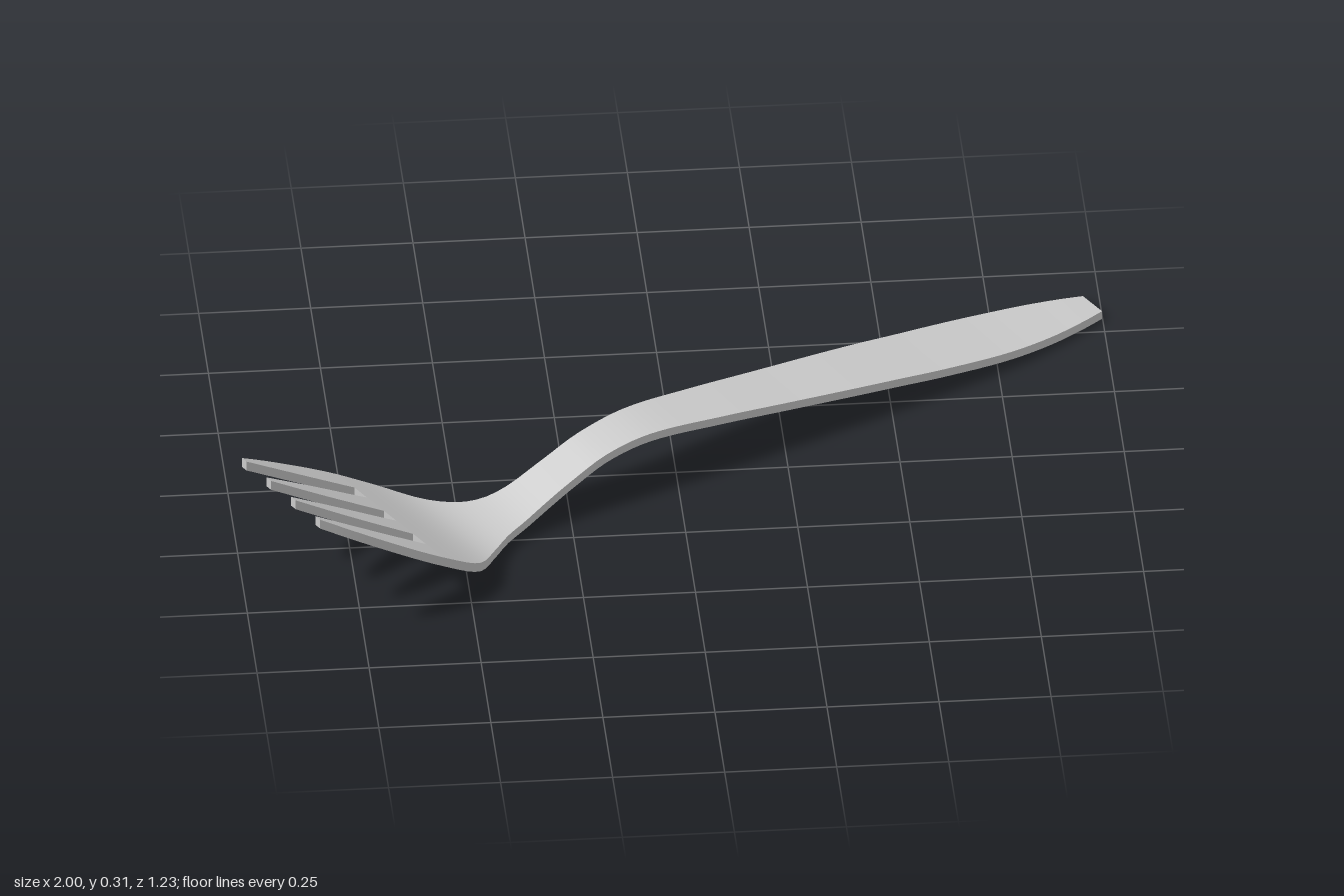
import * as THREE from 'three';

// Smooth curve through [u, value] points
function spline(p) {
  const slope = (i) => {
    const a = p[Math.max(i - 1, 0)], b = p[Math.min(i + 1, p.length - 1)];
    return (b[1] - a[1]) / (b[0] - a[0]);
  };
  return (u) => {
    let i = 0;
    while (i < p.length - 2 && u > p[i + 1][0]) i++;
    const h = p[i + 1][0] - p[i][0], t = (u - p[i][0]) / h, t2 = t * t, t3 = t2 * t;
    return (2 * t3 - 3 * t2 + 1) * p[i][1] + (t3 - 2 * t2 + t) * h * slope(i)
      + (3 * t2 - 2 * t3) * p[i + 1][1] + (t3 - t2) * h * slope(i + 1);
  };
}

const TIP = -1.038, ROOT = -0.745, END = 1.142, THICK = 0.02, OFFSET = -0.034;

// Height of the upper surface along the fork
const topY = spline([[TIP, 0.308], [-0.9, 0.225], [ROOT, 0.133], [-0.64, 0.072], [-0.57, 0.043],
  [-0.5, 0.033], [-0.42, 0.043], [-0.3, 0.092], [-0.2, 0.13], [-0.08, 0.146], [0.1, 0.13],
  [0.28, 0.108], [0.56, 0.074], [0.68, 0.058], [0.9, 0.034], [END, 0.02]]);

// Half width of the outline along the fork
const halfWidth = spline([[TIP, 0.155], [-0.98, 0.172], [-0.912, 0.188], [-0.8, 0.206], [-0.72, 0.207],
  [-0.635, 0.191], [-0.55, 0.127], [-0.485, 0.085], [-0.42, 0.066], [-0.35, 0.058], [-0.18, 0.056],
  [0, 0.065], [0.28, 0.077], [0.5, 0.086], [0.7, 0.09], [0.85, 0.088], [0.98, 0.075],
  [1.08, 0.055], [END, 0.038]]);

// Bent strip of metal between two edge curves
function strip(name, u0, u1, segments, lo, hi) {
  const geo = new THREE.BoxGeometry(1, 1, 1, segments, 1, 1);
  const pos = geo.attributes.position;
  for (let i = 0; i < pos.count; i++) {
    const u = u0 + (pos.getX(i) + 0.5) * (u1 - u0);
    const s = (topY(u + 0.005) - topY(u - 0.005)) / 0.01;
    const y = topY(u) - (pos.getY(i) < 0 ? THICK * Math.hypot(1, s) : 0);
    pos.setXYZ(i, u, Math.max(y, 0), OFFSET + (pos.getZ(i) < 0 ? lo(u) : hi(u)));
  }
  geo.computeVertexNormals();
  const mesh = new THREE.Mesh(geo, new THREE.MeshStandardMaterial({ color: 0xcccccc }));
  mesh.name = name;
  return mesh;
}

export function createModel() {
  const fork = new THREE.Group();
  fork.name = 'fork';

  // Handle, neck and palm in one piece
  fork.add(strip('handleAndPalm', ROOT, END, 80, (u) => -halfWidth(u), halfWidth));

  // Four tines, mirrored across the centre line
  const tines = [
    ['innerTine', spline([[TIP, 0.04], [-0.9, 0.03], [ROOT, 0.025]]),
      spline([[TIP, 0.058], [-0.9, 0.078], [ROOT, 0.091]])],
    ['outerTine', spline([[TIP, 0.137], [-0.9, 0.14], [ROOT, 0.142]]), halfWidth],
  ];
  for (const [name, inner, outer] of tines) {
    fork.add(strip(name + 'Front', TIP, ROOT, 16, inner, outer));
    fork.add(strip(name + 'Back', TIP, ROOT, 16, (u) => -outer(u), (u) => -inner(u)));
  }

  // The fork lies diagonally
  fork.rotation.y = THREE.MathUtils.degToRad(29.2);
  const model = new THREE.Group();
  model.add(fork);
  return model;
}
